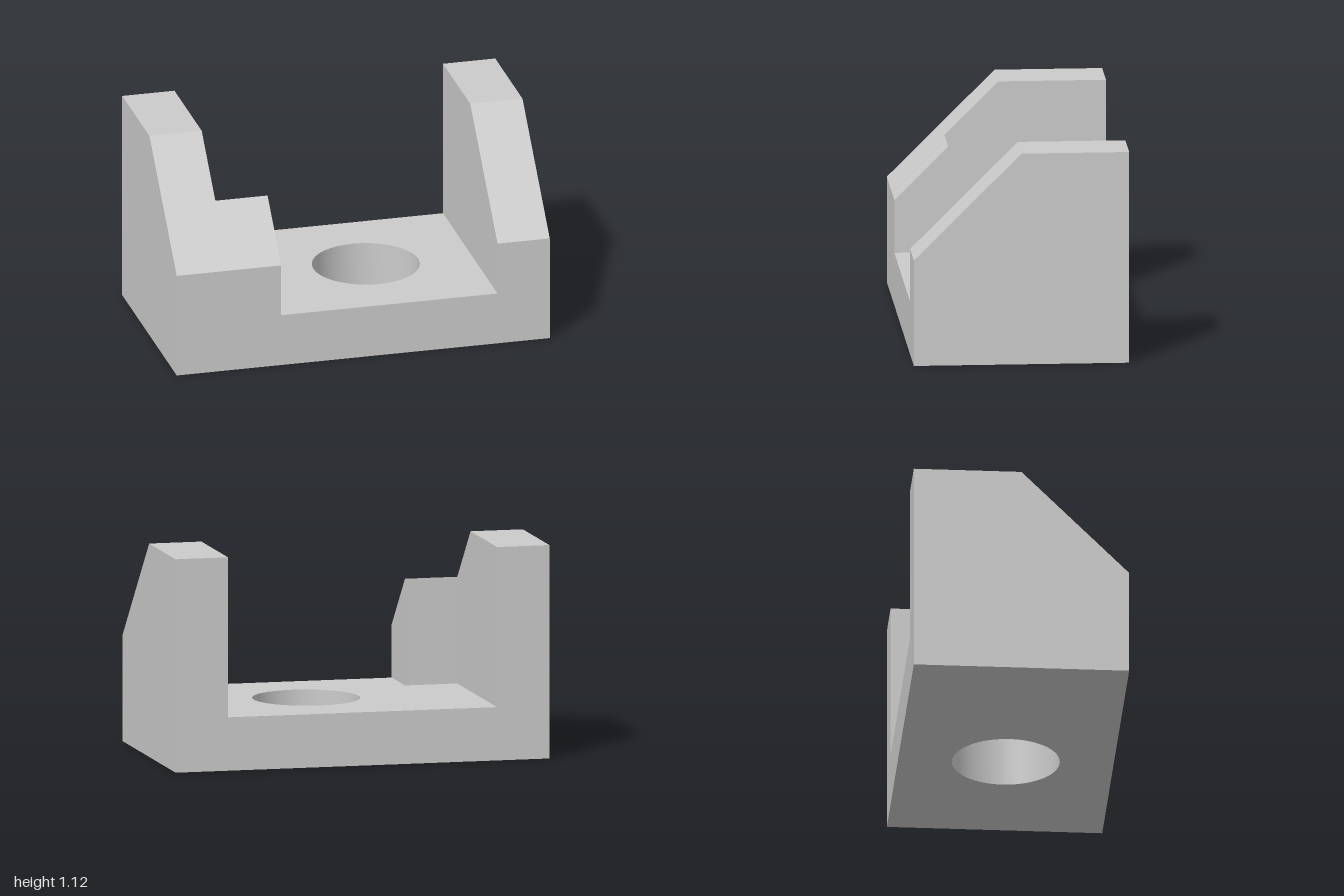
import * as THREE from 'three';
import { toCreasedNormals } from 'three/addons/utils/BufferGeometryUtils.js';

const material = new THREE.MeshStandardMaterial({ color: 0xcccccc });

function addMesh(group, name, geometry) {
  const mesh = new THREE.Mesh(geometry, material);
  mesh.name = name;
  group.add(mesh);
}

// Extrudes a side profile of [z, y] points across x, from x0 to x1.
function sideExtrude(points, x0, x1) {
  const shape = new THREE.Shape(points.map(([z, y]) => new THREE.Vector2(z, y)));
  return new THREE.ExtrudeGeometry(shape, { depth: x1 - x0, bevelEnabled: false })
    .rotateY(-Math.PI / 2)
    .translate(x1, 0, 0);
}

export function createModel() {
  const group = new THREE.Group();
  group.name = 'bracket';

  const wall = 0.28;      // wall and plate thickness
  const half = 0.56;      // half depth
  const inner = 1 - wall; // inner face of the side walls

  // Base plate with a round through hole
  const plate = new THREE.Shape([
    new THREE.Vector2(-inner, -half), new THREE.Vector2(inner, -half),
    new THREE.Vector2(inner, half), new THREE.Vector2(-inner, half),
  ]);
  plate.holes.push(new THREE.Path().absarc(0.16, 0, 0.28, 0, Math.PI * 2, true));
  const plateGeometry = new THREE.ExtrudeGeometry(plate, {
    depth: wall, bevelEnabled: false, curveSegments: 48,
  }).rotateX(-Math.PI / 2);
  addMesh(group, 'basePlate', toCreasedNormals(plateGeometry, 0.5));

  // Side walls with a chamfered front top
  const wallProfile = [[-half, 0], [half, 0], [half, 0.56], [0, 1.12], [-half, 1.12]];
  addMesh(group, 'leftWall', sideExtrude(wallProfile, inner, 1));
  addMesh(group, 'rightWall', sideExtrude(wallProfile, -1, -inner));

  // Front corner block continuing the right wall's slope
  const blockProfile = [[0.28, wall], [half, wall], [half, 0.56], [0.28, 0.84]];
  addMesh(group, 'cornerBlock', sideExtrude(blockProfile, -inner, -0.44));

  return group;
}
